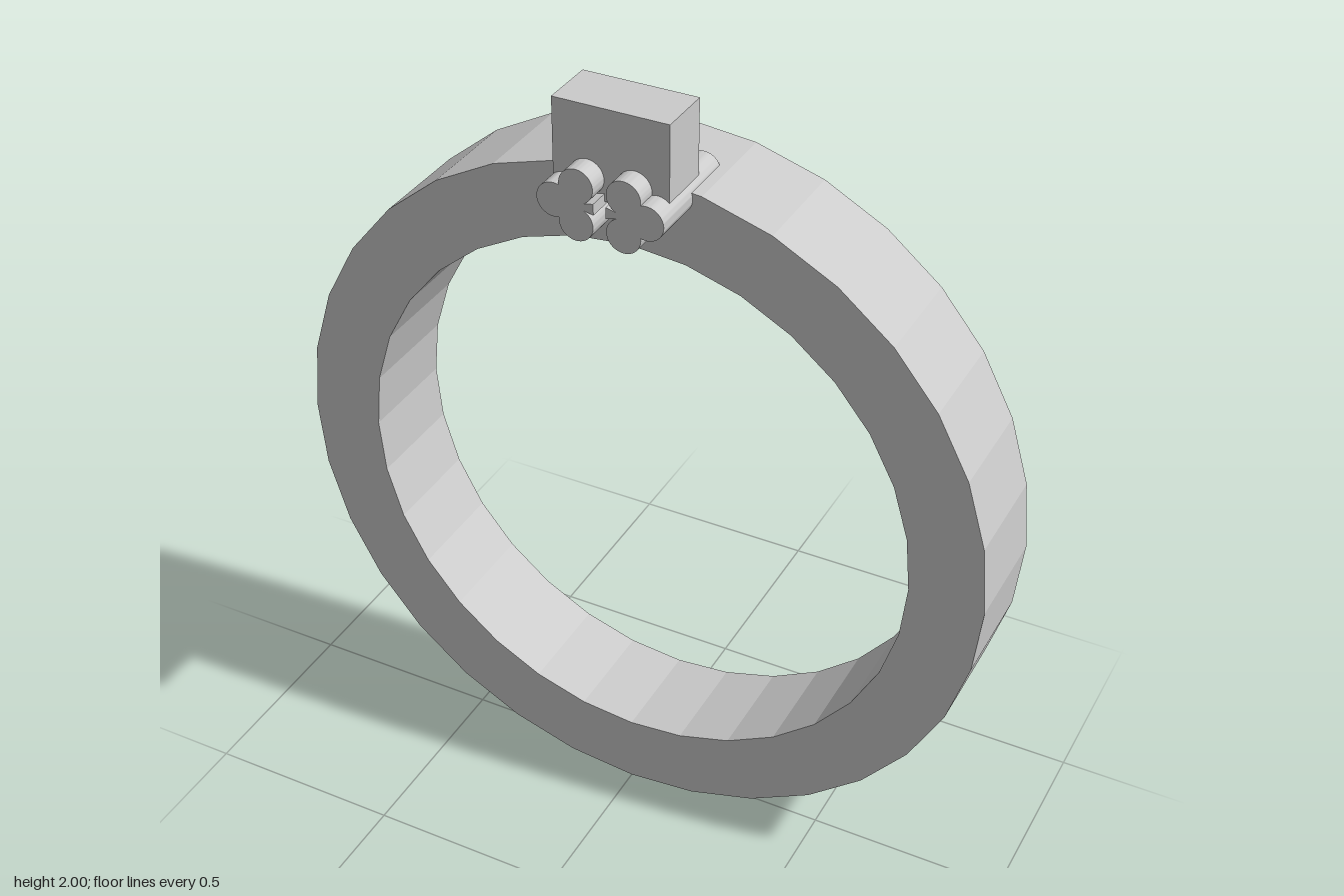
import * as THREE from 'three';
import { toCreasedNormals } from 'three/addons/utils/BufferGeometryUtils.js';

const DEPTH = 0.277;
const rad = THREE.MathUtils.degToRad;

// regular polygon with a vertex on each axis
function polygon(radius, sides) {
  return Array.from({ length: sides }, (_, i) => {
    const a = (i / sides) * Math.PI * 2;
    return new THREE.Vector2(Math.cos(a) * radius, Math.sin(a) * radius);
  });
}

// three-lobed clover lying on its side, flared stem towards the origin
function cloverShape() {
  const r = 0.042;
  const s = new THREE.Shape();
  s.moveTo(0.015, -0.014);
  s.lineTo(0.015, 0.014);
  s.absarc(0.058, 0.046, r, rad(-115), rad(-368.5), true);
  s.absarc(0.113, 0, r, rad(108.7), rad(-108.7), true);
  s.absarc(0.058, -0.046, r, rad(8.5), rad(-245), true);
  s.closePath();
  return s;
}

export function createModel() {
  const group = new THREE.Group();
  const material = new THREE.MeshStandardMaterial({ color: 0xcccccc });
  const flat = new THREE.MeshStandardMaterial({ color: 0xcccccc, flatShading: true });

  const add = (name, geometry, mat, x, y, z) => {
    const mesh = new THREE.Mesh(geometry, mat);
    mesh.name = name;
    mesh.position.set(x, y, z);
    group.add(mesh);
    return mesh;
  };

  // faceted band
  const bandShape = new THREE.Shape(polygon(0.906, 32));
  bandShape.holes.push(new THREE.Path(polygon(0.72, 32)));
  const bandGeometry = new THREE.ExtrudeGeometry(bandShape, { depth: DEPTH, bevelEnabled: false });
  add('band', bandGeometry, flat, 0, 0.907, -0.207);

  // block standing on top of the band
  add('block', new THREE.BoxGeometry(0.284, 0.224, 0.14), flat, 0, 1.888, 0.085);

  // pair of clovers running through the band under the block
  const cloverGeometry = toCreasedNormals(
    new THREE.ExtrudeGeometry(cloverShape(), { depth: DEPTH, bevelEnabled: false, curveSegments: 20 }),
    rad(35)
  );
  for (const side of [1, -1]) {
    const clover = add(side > 0 ? 'leftClover' : 'rightClover', cloverGeometry, material, 0, 1.782, -0.07);
    clover.rotation.z = side > 0 ? 0 : Math.PI;
  }

  return group;
}
